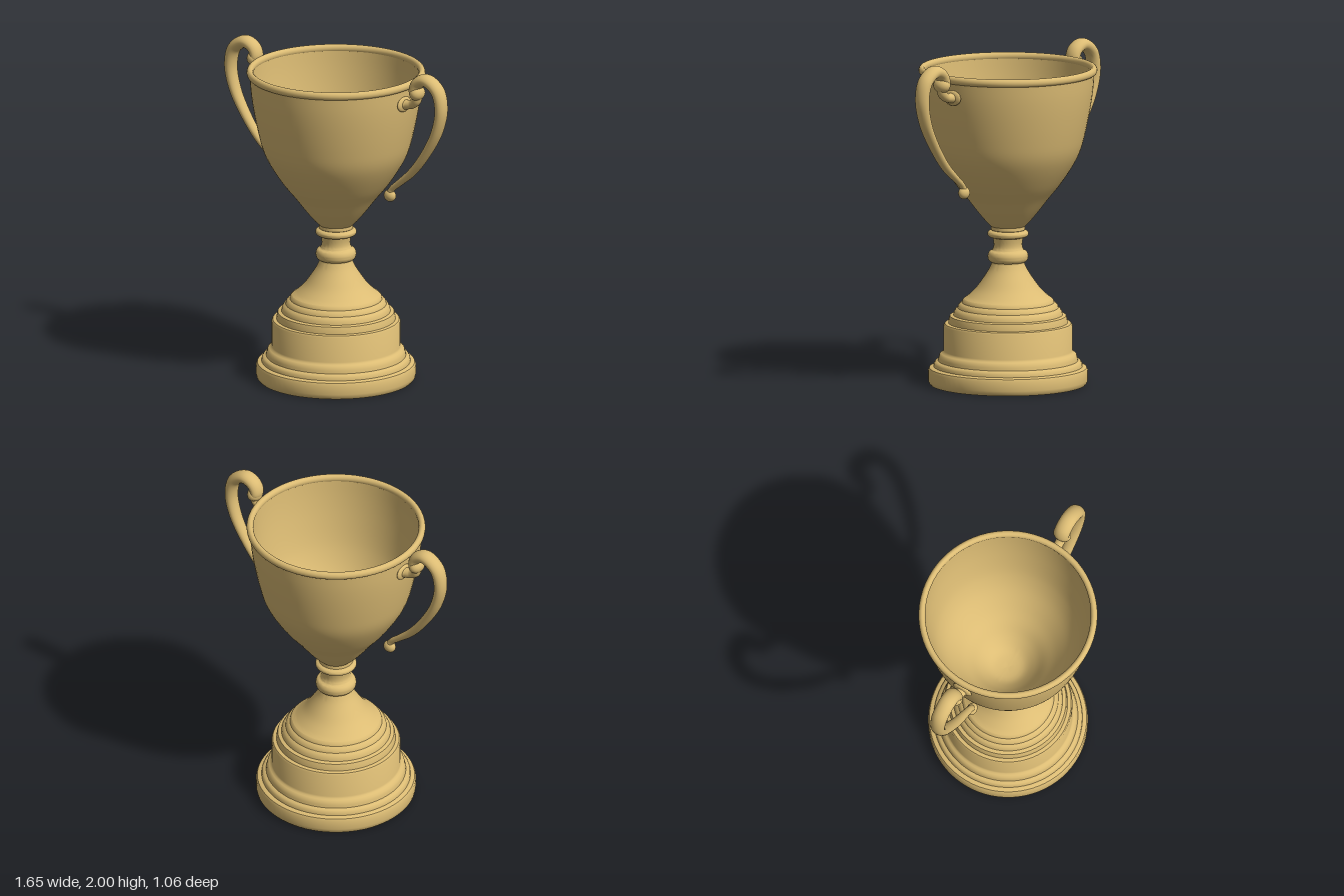
import * as THREE from 'three';
import { toCreasedNormals } from 'three/addons/utils/BufferGeometryUtils.js';

const gold = new THREE.MeshStandardMaterial({ color: 0xdcbc74 });
gold.name = 'gold';

const v2 = (p) => new THREE.Vector2(p[0], p[1]);

function mesh(name, geometry) {
  const m = new THREE.Mesh(geometry, gold);
  m.name = name;
  return m;
}

// Turned part: profile of [radius, height], hard steps stay sharp
function turned(name, profile, crease = 0.7) {
  return mesh(name, toCreasedNormals(new THREE.LatheGeometry(profile.map(v2), 72), crease));
}

// Smooth curve through a few profile points
const smooth = (pts, n) => new THREE.SplineCurve(pts.map(v2)).getPoints(n).map((p) => [p.x, p.y]);

// Half-round moulding between two heights
function bead(radius, bulge, y0, y1, n = 12) {
  return Array.from({ length: n + 1 }, (_, i) => {
    const a = -Math.PI / 2 + (Math.PI * i) / n;
    return [radius + bulge * Math.cos(a), (y0 + y1) / 2 + ((y1 - y0) / 2) * Math.sin(a)];
  });
}

// Tapered tube in the xy plane; stations are [x, y, in-plane radius, z radius]
function taperedTube(stations, steps, sides = 20) {
  const path = new THREE.CatmullRomCurve3(stations.map((s) => new THREE.Vector3(s[0], s[1], 0)));
  const pos = [], index = [];
  for (let i = 0; i <= steps; i++) {
    const t = i / steps;
    const p = path.getPoint(t), d = path.getTangent(t);
    const f = t * (stations.length - 1), k = Math.min(Math.floor(f), stations.length - 2);
    const a = THREE.MathUtils.lerp(stations[k][2], stations[k + 1][2], f - k);
    const b = THREE.MathUtils.lerp(stations[k][3], stations[k + 1][3], f - k);
    for (let j = 0; j < sides; j++) {
      const w = (2 * Math.PI * j) / sides, c = a * Math.cos(w);
      pos.push(p.x - d.y * c, p.y + d.x * c, b * Math.sin(w));
      if (i === steps) continue;
      const q = i * sides + j, r = i * sides + ((j + 1) % sides);
      index.push(q, r, q + sides, r, r + sides, q + sides);
    }
  }
  const g = new THREE.BufferGeometry();
  g.setAttribute('position', new THREE.Float32BufferAttribute(pos, 3));
  g.setIndex(index);
  g.computeVertexNormals();
  return g;
}

function ball(name, x, y, rx, ry, rz) {
  const m = mesh(name, new THREE.SphereGeometry(1, 24, 16));
  m.position.set(x, y, 0);
  m.scale.set(rx, ry, rz);
  return m;
}

function createHandle(name) {
  const g = new THREE.Group();
  g.name = name;
  // Main sweep, from the lower tip up and over into the scroll
  g.add(mesh('handleSweep', taperedTube([
    [0.4, 1.205, 0.022, 0.022], [0.42, 1.243, 0.018, 0.02], [0.475, 1.29, 0.02, 0.024],
    [0.574, 1.376, 0.025, 0.03], [0.685, 1.52, 0.028, 0.036], [0.76, 1.66, 0.032, 0.042],
    [0.79, 1.8, 0.036, 0.046], [0.762, 1.91, 0.038, 0.049], [0.68, 1.961, 0.038, 0.05],
    [0.617, 1.935, 0.036, 0.05], [0.597, 1.885, 0.033, 0.05], [0.618, 1.86, 0.03, 0.046],
  ], 110)));
  g.add(ball('handleTip', 0.405, 1.2, 0.04, 0.037, 0.031));
  g.add(ball('scrollEnd', 0.61, 1.872, 0.043, 0.045, 0.056));
  // Bracket joining the scroll to the bowl
  g.add(mesh('handleBracket', taperedTube([
    [0.615, 1.86, 0.028, 0.03], [0.603, 1.82, 0.028, 0.03], [0.57, 1.795, 0.026, 0.028],
    [0.535, 1.787, 0.028, 0.032], [0.5, 1.785, 0.036, 0.045],
  ], 30)));
  g.add(ball('mountingPlate', 0.512, 1.785, 0.017, 0.046, 0.064));
  return g;
}

export function createModel() {
  const model = new THREE.Group();
  model.name = 'trophyCup';

  // Stepped round plinth
  model.add(turned('plinth', [
    [0, 0], [0.462, 0], [0.472, 0.012], [0.475, 0.03], [0.475, 0.085], [0.468, 0.1], [0.455, 0.106],
    [0.443, 0.108], [0.441, 0.125], [0.432, 0.138], [0.416, 0.143],
    [0.413, 0.16], [0.408, 0.178], [0.397, 0.188], [0.388, 0.194], [0.383, 0.205],
    [0.383, 0.355], [0.376, 0.366], [0.355, 0.37],
    [0.352, 0.395], [0.346, 0.412], [0.325, 0.418],
    [0.322, 0.435], [0.312, 0.452], [0.3, 0.46], [0.296, 0.475], [0.283, 0.488], [0.275, 0.492],
    [0.272, 0.505], [0.262, 0.515],
  ]));

  // Flared foot, stem and its two rings
  model.add(turned('stem', [
    ...smooth([[0.262, 0.515], [0.235, 0.535], [0.19, 0.58], [0.15, 0.635], [0.115, 0.69], [0.097, 0.73]], 24),
    ...bead(0.097, 0.024, 0.735, 0.805),
    ...smooth([[0.094, 0.808], [0.086, 0.825], [0.085, 0.85], [0.09, 0.882]], 8),
    ...bead(0.097, 0.026, 0.885, 0.927),
    [0.102, 0.93], [0.1, 0.965],
  ]));

  // Bowl, outside then inside
  model.add(turned('bowl', smooth([
    [0.1, 0.95], [0.135, 0.985], [0.185, 1.045], [0.245, 1.123], [0.312, 1.205], [0.385, 1.315],
    [0.432, 1.41], [0.462, 1.52], [0.49, 1.66], [0.507, 1.78], [0.515, 1.89],
  ], 40), 1.2));
  model.add(turned('bowlInside', smooth([
    [0.497, 1.89], [0.487, 1.78], [0.47, 1.66], [0.442, 1.52], [0.412, 1.42], [0.365, 1.32],
    [0.29, 1.21], [0.223, 1.13], [0.16, 1.055], [0.09, 1.0], [0, 0.985],
  ], 40), 1.2));

  // Rolled rim
  const rim = mesh('rim', new THREE.TorusGeometry(0.512, 0.02, 16, 72));
  rim.rotation.x = Math.PI / 2;
  rim.scale.z = 1.2;
  rim.position.y = 1.891;
  model.add(rim);

  // Matching handles, one turned half round
  const left = createHandle('leftHandle');
  const right = createHandle('rightHandle');
  right.rotation.y = Math.PI;
  model.add(left, right);
  return model;
}
